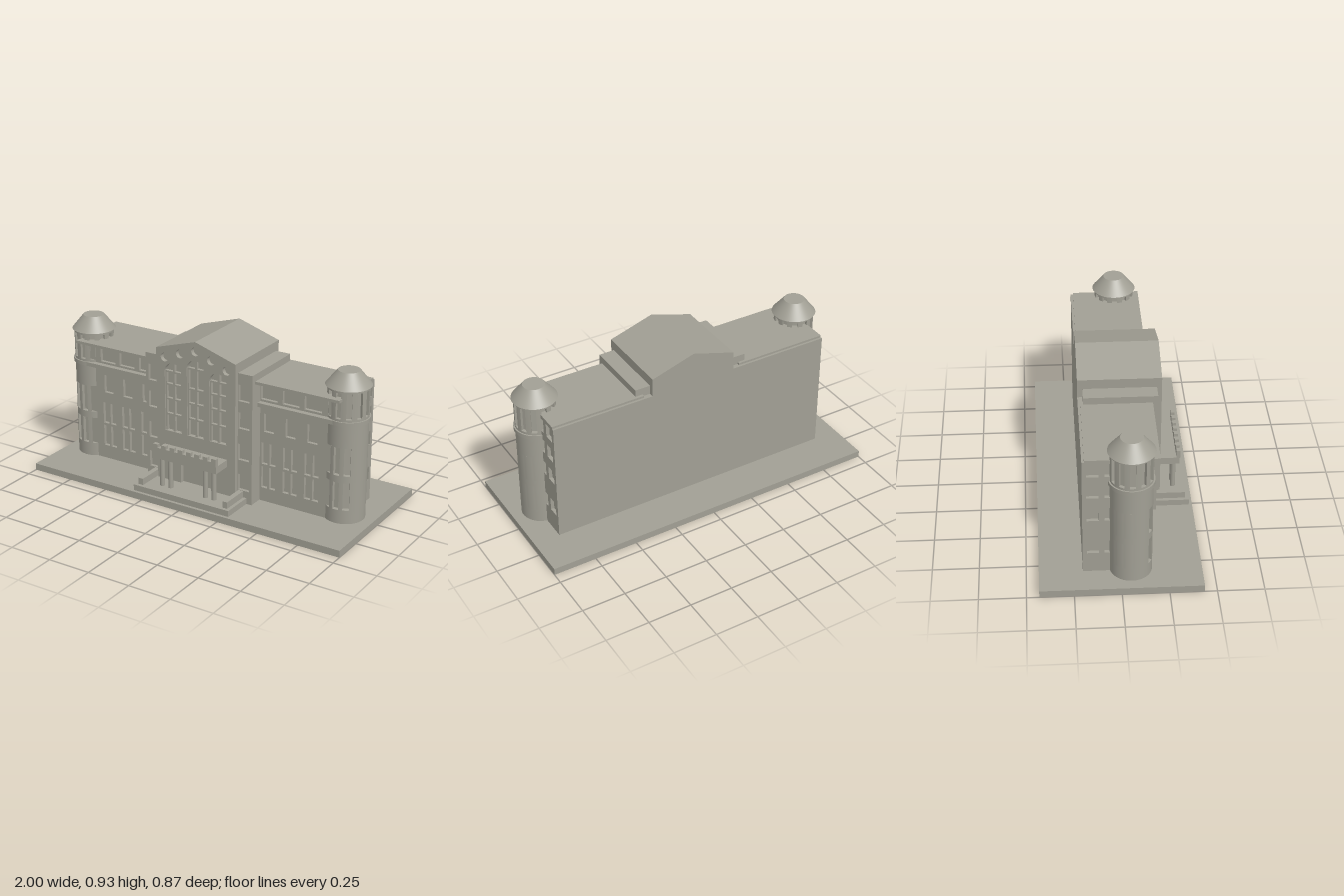
import * as THREE from 'three';
import { toCreasedNormals } from 'three/addons/utils/BufferGeometryUtils.js';

export function createModel() {
  const model = new THREE.Group();
  const stone = new THREE.MeshStandardMaterial({ color: 0xa19f94 });
  stone.name = 'warm grey stone';

  const add = (name, geo, x = 0, y = 0, z = 0) => {
    const m = new THREE.Mesh(geo, stone);
    m.name = name;
    m.position.set(x, y, z);
    model.add(m);
    return m;
  };
  // Box given by its limits on each axis
  const box = (name, x0, x1, y0, y1, z0, z1) =>
    add(name, new THREE.BoxGeometry(Math.abs(x1 - x0), y1 - y0, z1 - z0),
      (x0 + x1) / 2, (y0 + y1) / 2, (z0 + z1) / 2);
  const polygon = (pts, C = THREE.Shape) => new C(pts.map(p => new THREE.Vector2(p[0], p[1])));
  const rect = (a, b, y0, y1, C = THREE.Path) => {
    const l = Math.min(a, b), r = Math.max(a, b);
    return polygon([[l, y0], [r, y0], [r, y1], [l, y1]], C);
  };
  const extrude = (shape, depth) =>
    new THREE.ExtrudeGeometry(shape, { depth, bevelEnabled: false, curveSegments: 16 });

  // Round plan with radial notches, extruded from y0 to y1
  const notchedDrum = (name, cx, cz, R, r, y0, y1, angles, hw) => {
    const pts = [], polar = (rad, a) => pts.push([rad * Math.sin(a), -rad * Math.cos(a)]);
    const dA = Math.asin(hw / R), dB = Math.asin(hw / r);
    angles.forEach((a, i) => {
      polar(R, a - dA); polar(r, a - dB); polar(r, a + dB);
      const next = i + 1 < angles.length ? angles[i + 1] : angles[0] + Math.PI * 2;
      const from = a + dA, to = next - dA;
      const n = Math.max(2, Math.ceil((to - from) / 0.09));
      for (let k = 0; k < n; k++) polar(R, from + (to - from) * k / n);
    });
    const g = extrude(polygon(pts), y1 - y0).rotateX(-Math.PI / 2);
    add(name, toCreasedNormals(g, 0.4), cx, y0, cz);
  };

  // Ground slab
  box('base', -1, 1, 0, 0.04, -0.433, 0.433);

  // Central gabled block with arched windows, roundels and doorway
  const gable = [[-0.255, 0.04], [0.255, 0.04], [0.255, 0.855], [0, 0.933], [-0.255, 0.855]];
  add('centralBlock', extrude(polygon(gable), 0.43), 0, 0, -0.2);
  const facade = polygon(gable);
  const arches = [[-0.145, 0.78], [0, 0.825], [0.145, 0.78]], aw = 0.055, sill = 0.375;
  for (const [x, top] of arches) {
    const p = new THREE.Path();
    p.moveTo(x - aw, sill);
    p.lineTo(x + aw, sill);
    p.lineTo(x + aw, top - aw);
    p.absarc(x, top - aw, aw, 0, Math.PI, false);
    p.lineTo(x - aw, sill);
    facade.holes.push(p);
    box('windowMullion', x - 0.006, x + 0.006, sill, top - 0.002, 0.228, 0.248);
    for (const s of [-1, 1])
      box('windowJamb', x + s * 0.047, x + s * aw, sill, top - aw, 0.228, 0.248);
    for (const y of [0.473, 0.564, 0.65, top - aw])
      box('windowTransom', x - aw, x + aw, y - 0.005, y + 0.005, 0.228, 0.248);
  }
  for (const [x, y] of [[-0.2, 0.807], [-0.1, 0.845], [0, 0.877], [0.1, 0.845], [0.2, 0.807]]) {
    const p = new THREE.Path();
    p.absarc(x, y, 0.025, 0, Math.PI * 2, false);
    facade.holes.push(p);
  }
  facade.holes.push(rect(-0.1, 0.1, 0.075, 0.25));
  add('centralFacade', extrude(facade, 0.025), 0, 0, 0.23);

  // Entrance terrace, canopy and battlements
  box('entranceTerrace', -0.312, 0.312, 0.04, 0.075, 0.2, 0.415);
  box('canopy', -0.205, 0.205, 0.248, 0.29, 0.25, 0.368);
  box('parapet', -0.205, 0.205, 0.29, 0.315, 0.35, 0.372);
  for (let i = 0; i < 8; i++) {
    const x = -0.19 + i * 0.38 / 7;
    box('merlon', x - 0.015, x + 0.015, 0.315, 0.335, 0.35, 0.372);
  }

  for (const s of [-1, 1]) {
    // Stair cheeks and canopy columns
    box('stairCheek', s * 0.262, s * 0.292, 0.075, 0.113, 0.22, 0.395);
    for (const x of [0.115, 0.17])
      add('canopyColumn', new THREE.CylinderGeometry(0.014, 0.014, 0.173, 20), s * x, 0.1615, 0.335);

    // Shoulder block beside the centre
    box('shoulderBlock', s * 0.2, s * 0.345, 0.04, 0.80, -0.172, 0.208);
    const shoulder = rect(s * 0.25, s * 0.345, 0.04, 0.80, THREE.Shape);
    for (const [y0, y1] of [[0.115, 0.21], [0.295, 0.39], [0.48, 0.575], [0.64, 0.735]])
      shoulder.holes.push(rect(s * 0.258, s * 0.328, y0, y1));
    add('shoulderFacade', extrude(shoulder, 0.02), 0, 0, 0.208);

    // Wing with recessed windows
    box('wing', s * 0.2, s * 0.83, 0.04, 0.748, -0.2, 0.124);
    const front = rect(s * 0.3, s * 0.85, 0.04, 0.748, THREE.Shape);
    for (const x of [0.668, 0.535, 0.4]) {
      front.holes.push(rect(s * (x - 0.052), s * (x + 0.052), 0.642, 0.722));
      front.holes.push(rect(s * (x - 0.031), s * (x + 0.031), 0.455, 0.562));
      for (const dx of [-0.025, 0.025])
        for (const y of [0.12, 0.262])
          front.holes.push(rect(s * (x + dx - 0.019), s * (x + dx + 0.019), y, y + 0.128));
    }
    add('wingFacade', extrude(front, 0.02), 0, 0, 0.124);

    // End wall of the wing
    const u = z => -s * z;
    const end = rect(u(-0.2), u(0.124), 0.04, 0.748, THREE.Shape);
    for (const y of [0.161, 0.375, 0.522, 0.656]) {
      end.holes.push(rect(u(-0.178), u(-0.114), y, y + 0.081));
      end.holes.push(rect(u(-0.084), u(-0.047), y, y + 0.081));
    }
    add('wingEndWall', extrude(end, 0.02).rotateY(s * Math.PI / 2), s * 0.83, 0, 0);

    // Ledge and roof cornice
    box('wingLedge', s * 0.3, s * 0.80, 0.607, 0.63, 0.12, 0.175);
    box('wingCornice', s * 0.3, s * 0.85, 0.744, 0.76, -0.187, 0.2);

    // Corner tower: shaft, collar, lantern and roof
    const cx = s * 0.828, cz = 0.055, R = 0.113;
    const cyl = (name, rt, rb, y0, y1) =>
      add(name, new THREE.CylinderGeometry(rt, rb, y1 - y0, 64), cx, (y0 + y1) / 2, cz);
    const slots = [-Math.PI / 6, 0, Math.PI / 6];
    cyl('towerFoot', R, R, 0.04, 0.12);
    notchedDrum('towerLowerWindows', cx, cz, R, 0.09, 0.12, 0.28, slots, 0.018);
    cyl('towerBand', R, R, 0.28, 0.32);
    notchedDrum('towerUpperWindows', cx, cz, R, 0.09, 0.32, 0.48, slots, 0.018);
    cyl('towerShaft', R, R, 0.48, 0.607);
    cyl('towerCollar', 0.122, 0.122, 0.607, 0.63);
    cyl('lanternSill', 0.114, 0.114, 0.63, 0.643);
    const ring = Array.from({ length: 12 }, (_, i) => i * Math.PI / 6);
    notchedDrum('lantern', cx, cz, 0.114, 0.096, 0.643, 0.787, ring, 0.015);
    cyl('lanternHead', 0.114, 0.114, 0.787, 0.803);
    cyl('towerRoof', 0.06, 0.125, 0.803, 0.883);
  }
  return model;
}
